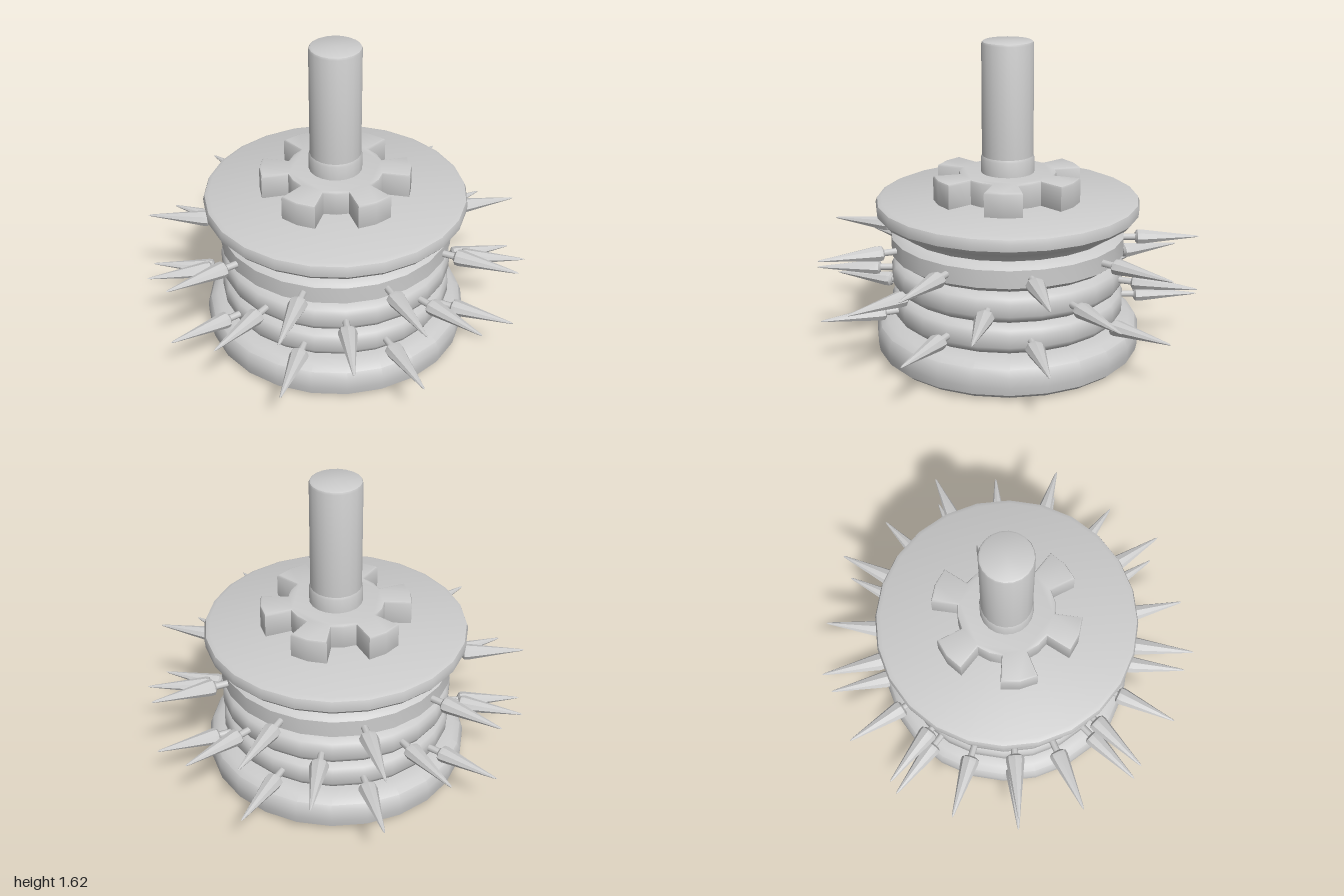
import * as THREE from 'three';
import { toCreasedNormals } from 'three/addons/utils/BufferGeometryUtils.js';

const material = new THREE.MeshStandardMaterial({ color: 0xcccccc });
const SIDES = 24;

function addMesh(parent, name, geometry, crease = 0.6) {
  const mesh = new THREE.Mesh(toCreasedNormals(geometry, crease), material);
  mesh.name = name;
  parent.add(mesh);
  return mesh;
}

// Profiles are [radius, height] pairs running from the underside to the top.
function lathe(points, sides = SIDES) {
  return new THREE.LatheGeometry(points.map(([r, y]) => new THREE.Vector2(r, y)), sides);
}

// Six-toothed gear outline with radial tooth flanks.
function gearGeometry() {
  const bevel = 0.012, outer = 0.385 - bevel, root = 0.25 - bevel;
  const half = THREE.MathUtils.degToRad(12.5);
  const points = [];
  for (let i = 0; i < 6; i++) {
    const mid = THREE.MathUtils.degToRad(i * 60 - 4);
    const corner = (r, a) => points.push(new THREE.Vector2(r * Math.cos(a), r * Math.sin(a)));
    corner(root, mid - half);
    corner(outer, mid - half);
    corner(outer + 0.004, mid);
    corner(outer, mid + half);
    corner(root, mid + half);
    corner(root, mid + Math.PI / 6);
  }
  const geometry = new THREE.ExtrudeGeometry(new THREE.Shape(points), {
    depth: 0.13, bevelEnabled: true, bevelSize: bevel, bevelThickness: bevel, bevelSegments: 2,
  });
  return geometry.rotateX(-Math.PI / 2);
}

export function createModel() {
  const group = new THREE.Group();

  // Hollow foot with a rounded rim and a recessed underside
  addMesh(group, 'base', lathe([
    [0, 0.19], [0.5, 0.19], [0.54, 0.16], [0.56, 0.1], [0.565, 0.04], [0.59, 0.01], [0.62, 0],
    [0.66, 0.008], [0.685, 0.03], [0.692, 0.07], [0.692, 0.12], [0.675, 0.16], [0.64, 0.183],
    [0.59, 0.195], [0.5, 0.2],
  ]));

  // Core and three stacked bands
  addMesh(group, 'core', new THREE.CylinderGeometry(0.535, 0.535, 0.52, SIDES).translate(0, 0.45, 0));
  const bandHeights = [0.27, 0.43, 0.59];
  bandHeights.forEach((y, i) => {
    const flat = i === 2 ? 0.045 : 0.03;
    addMesh(group, 'band' + (i + 1), lathe([
      [0.52, y - 0.079], [0.565, y - 0.074], [0.592, y - 0.055], [0.605, y - flat],
      [0.605, y + flat], [0.592, y + 0.055], [0.565, y + 0.074], [0.52, y + 0.079],
    ]));
  });

  // Nine spikes on each band, the middle band staggered by half a step
  const spikeGeometry = toCreasedNormals(lathe([
    [0, 0.665], [0.03, 0.665], [0.046, 0.675], [0.048, 0.695], [0.022, 0.87], [0.006, 0.985], [0, 1],
  ], 8).rotateX(Math.PI / 2).scale(1, 0.82, 1), 0.6);
  const stemGeometry = new THREE.CylinderGeometry(0.018, 0.018, 0.16, 8)
    .rotateX(Math.PI / 2).translate(0, 0, 0.6);
  bandHeights.forEach((y, row) => {
    for (let i = 0; i < 9; i++) {
      const spike = new THREE.Group();
      spike.name = 'spike';
      const point = new THREE.Mesh(spikeGeometry, material);
      point.name = 'spikePoint';
      const stem = new THREE.Mesh(stemGeometry, material);
      stem.name = 'spikeStem';
      spike.add(point, stem);
      spike.position.y = y;
      spike.rotation.y = THREE.MathUtils.degToRad(i * 40 + (row === 1 ? 0 : 20));
      group.add(spike);
    }
  });

  // Flared top plate
  addMesh(group, 'topPlate', lathe([
    [0.5, 0.66], [0.555, 0.665], [0.575, 0.69], [0.615, 0.715], [0.66, 0.735], [0.677, 0.755],
    [0.68, 0.79], [0.672, 0.812], [0.65, 0.822], [0, 0.822],
  ]));

  // Gear, collar and shaft
  addMesh(group, 'gear', gearGeometry()).position.y = 0.808;
  addMesh(group, 'collar', lathe([
    [0.137, 0.93], [0.137, 1.025], [0.13, 1.04], [0, 1.04],
  ], 20));
  addMesh(group, 'shaft', lathe([
    [0.131, 0.94], [0.131, 1.605], [0.127, 1.615], [0.118, 1.62], [0, 1.62],
  ], 20));

  return group;
}
